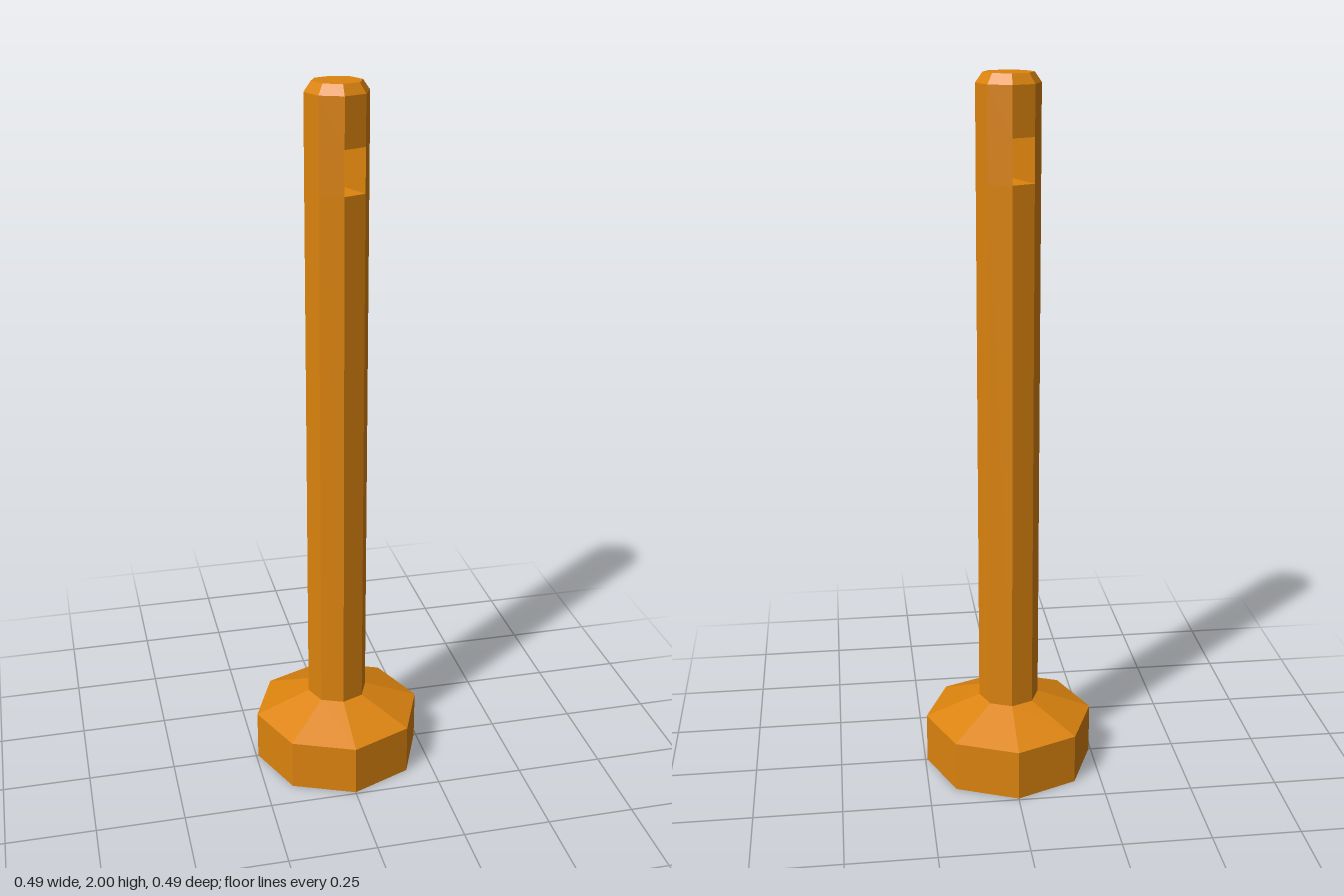
import * as THREE from 'three';

const SIDES = 8;
const SHAFT_R = 0.087;
const SLOT_BOTTOM = 1.72;
const SLOT_TOP = 1.84;

export function createModel() {
  const pin = new THREE.Group();
  pin.name = 'pin';
  const material = new THREE.MeshStandardMaterial({ color: 0xdd840f, flatShading: true });

  const add = (name, geometry) => {
    const mesh = new THREE.Mesh(geometry, material);
    mesh.name = name;
    pin.add(mesh);
    return mesh;
  };

  // Eight-sided solid turned from [radius, height] pairs, bottom to top
  const turned = (profile) =>
    new THREE.LatheGeometry(profile.map(([r, y]) => new THREE.Vector2(r, y)), SIDES);

  // Flat head, sloped shoulder and the shaft up to the slot
  add('headAndShaft', turned([
    [0, 0], [0.244, 0], [0.244, 0.147], [SHAFT_R, 0.21], [SHAFT_R, SLOT_BOTTOM], [0, SLOT_BOTTOM],
  ]));

  // Chamfered tip above the slot
  add('tip', turned([
    [0, SLOT_TOP], [SHAFT_R, SLOT_TOP], [SHAFT_R, 1.973], [0.068, 2], [0, 2],
  ]));

  // Cheeks either side of the through slot, each covering three shaft faces
  const corners = [1, 2, 3, 4].map((k) => {
    const a = (k / SIDES) * Math.PI * 2;
    return new THREE.Vector2(Math.sin(a) * SHAFT_R, -Math.cos(a) * SHAFT_R);
  });
  const cheek = new THREE.ExtrudeGeometry(new THREE.Shape(corners), {
    depth: SLOT_TOP - SLOT_BOTTOM,
    bevelEnabled: false,
  });
  cheek.rotateX(-Math.PI / 2).translate(0, SLOT_BOTTOM, 0);
  add('leftSlotCheek', cheek);
  add('rightSlotCheek', cheek).rotation.y = Math.PI;

  return pin;
}
